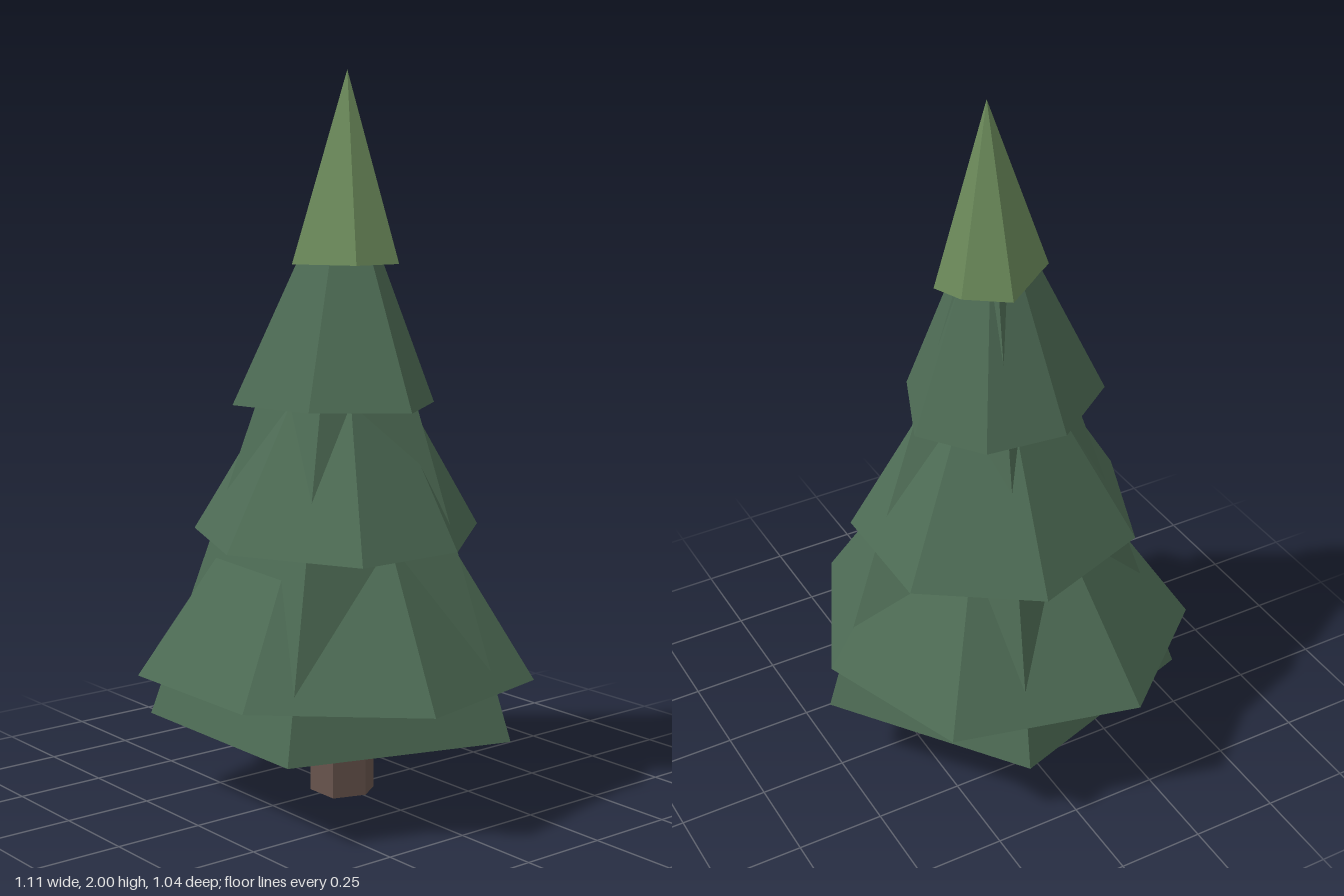
import * as THREE from 'three';

const needles = new THREE.MeshStandardMaterial({ color: 0x4d6b54 });
needles.name = 'needle green';
const tipGreen = new THREE.MeshStandardMaterial({ color: 0x6c8b5b });
tipGreen.name = 'tip green';
const bark = new THREE.MeshStandardMaterial({ color: 0x67544c });
bark.name = 'bark brown';

// Faceted cone with an uneven base; corners are [x, z] by rising angle from +x to +z
function facetedCone(corners, baseY, apex) {
  const pos = [];
  const cx = corners.reduce((s, c) => s + c[0], 0) / corners.length;
  const cz = corners.reduce((s, c) => s + c[1], 0) / corners.length;
  corners.forEach(([ax, az], i) => {
    const [bx, bz] = corners[(i + 1) % corners.length];
    pos.push(ax, baseY, az, ...apex, bx, baseY, bz); // side
    pos.push(cx, baseY, cz, ax, baseY, az, bx, baseY, bz); // underside
  });
  const geo = new THREE.BufferGeometry();
  geo.setAttribute('position', new THREE.Float32BufferAttribute(pos, 3));
  geo.computeVertexNormals();
  return geo;
}

// Regular ring of corners
function ring(n, r, cx, cz, start) {
  return Array.from({ length: n }, (_, i) => {
    const a = start + (i / n) * Math.PI * 2;
    return [cx + r * Math.cos(a), cz + r * Math.sin(a)];
  });
}

export function createModel() {
  const tree = new THREE.Group();
  tree.name = 'pineTree';
  const add = (name, geo, mat) => {
    const mesh = new THREE.Mesh(geo, mat);
    mesh.name = name;
    tree.add(mesh);
  };

  // Six-sided trunk
  const trunkCorners = [[0.092, -0.005], [0.06, 0.085], [-0.043, 0.085],
    [-0.075, 0], [-0.04, -0.07], [0.05, -0.07]];
  const outline = new THREE.Shape(trunkCorners.map(([x, z]) => new THREE.Vector2(x, -z)));
  const trunk = new THREE.ExtrudeGeometry(outline, { depth: 0.3, bevelEnabled: false });
  trunk.rotateX(-Math.PI / 2);
  add('trunk', trunk, bark);

  // Tall five-sided core whose ridges poke through the tiers
  add('coreBranches',
    facetedCone(ring(5, 0.535, 0.01, 0.012, -Math.PI / 2), 0.23, [0.01, 1.8, 0.005]), needles);

  // Branch tiers, bottom to top
  const tiers = [
    ['lowerBranches', 0.36, [0, 1.2, 0], needles,
      [[0.555, 0.145], [0.22, 0.51], [-0.26, 0.515], [-0.555, 0.165],
        [-0.425, -0.355], [0.01, -0.512], [0.455, -0.3]]],
    ['middleBranches', 0.738, [-0.005, 1.43, 0], needles,
      [[0.395, 0.255], [0.045, 0.43], [-0.305, 0.29], [-0.43, -0.065],
        [-0.22, -0.37], [0.145, -0.37], [0.4, -0.065]]],
    ['upperBranches', 1.11, [0.03, 1.77, 0.02], needles,
      [[0.335, 0.04], [0.165, 0.25], [-0.09, 0.31], [-0.245, 0.095],
        [-0.22, -0.135], [-0.05, -0.26], [0.2, -0.155]]],
    ['treeTip', 1.487, [0.007, 2, -0.008], tipGreen,
      [[0.16, 0.085], [0.005, 0.18], [-0.13, -0.005], [-0.05, -0.115],
        [0.037, -0.15], [0.175, -0.05]]],
  ];
  for (const [name, baseY, apex, mat, corners] of tiers) {
    add(name, facetedCone(corners, baseY, apex), mat);
  }
  return tree;
}
